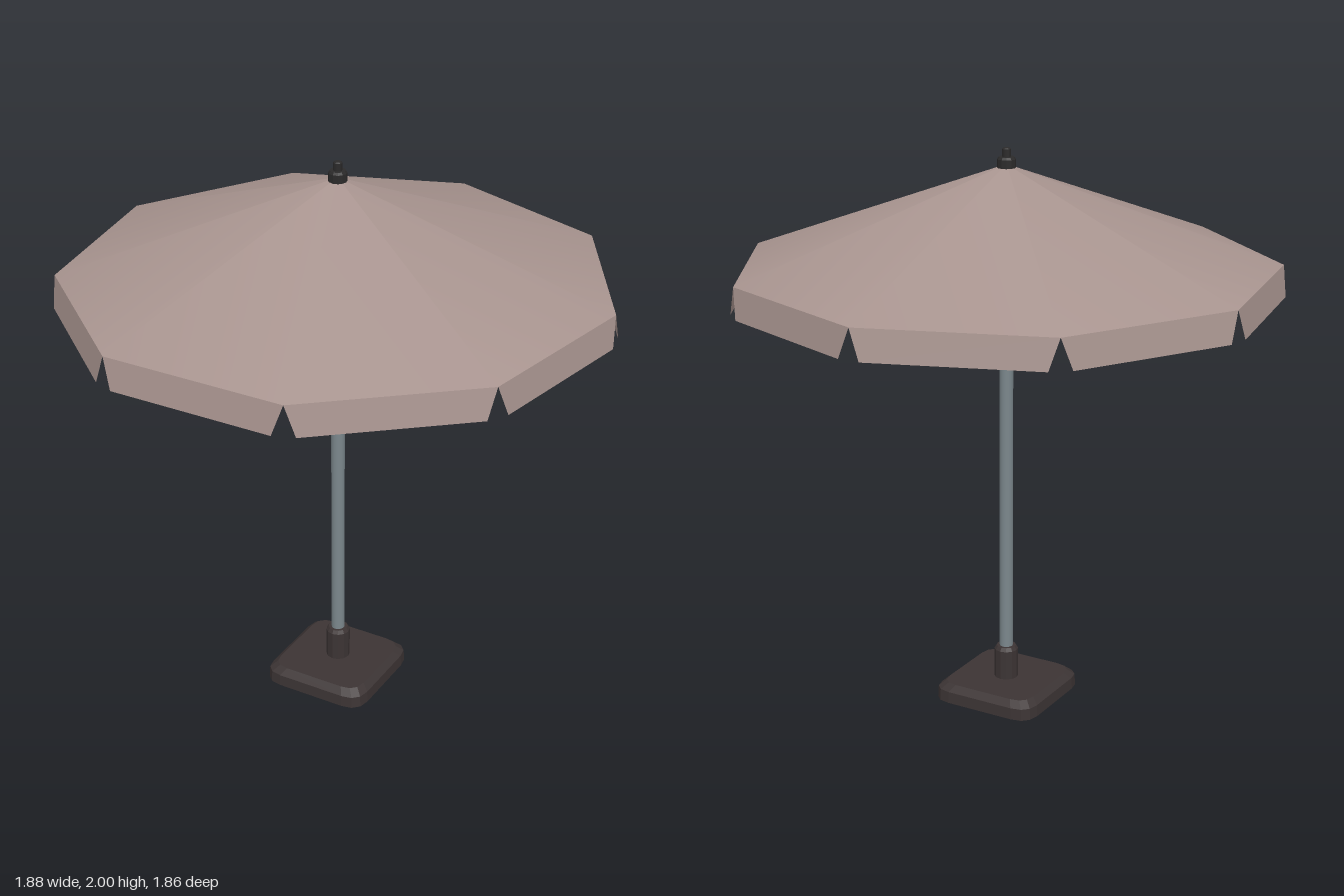
import * as THREE from 'three';

const SIDES = 9;
const AXIS_Z = 0.02;
const RIM_R = 0.945, RIM_Y = 1.6, APEX_Y = 1.945;

function material(name, color, side = THREE.FrontSide) {
  const m = new THREE.MeshStandardMaterial({ color, side });
  m.name = name;
  return m;
}

export function createModel() {
  const fabric = material('dusty rose fabric', 0xa8948f, THREE.DoubleSide);
  const steel = material('grey steel', 0x7b878c);
  const dark = material('dark brown plastic', 0x3c3434);
  const black = material('black metal', 0x2b2a2a);
  const collarMat = material('brown collar', 0x927d77);

  const model = new THREE.Group();
  model.name = 'parasol';
  const add = (name, geometry, mat, parent = model) => {
    const mesh = new THREE.Mesh(geometry, mat);
    mesh.name = name;
    parent.add(mesh);
    return mesh;
  };
  // Turned part from [radius, y] pairs, listed bottom to top, with crisp rings
  const turned = (name, profile, mat, sides = 12) => {
    const points = profile.map(([r, y]) => new THREE.Vector2(r, y));
    const geo = new THREE.LatheGeometry(points, sides).toNonIndexed();
    geo.computeVertexNormals();
    return add(name, geo, mat);
  };

  // Base slab: rounded square whose top edge is drawn in
  const h = 0.2, c = 0.07;
  const outline = new THREE.Shape();
  outline.moveTo(h - c, -h);
  outline.quadraticCurveTo(h, -h, h, -h + c);
  outline.lineTo(h, h - c);
  outline.quadraticCurveTo(h, h, h - c, h);
  outline.lineTo(-h + c, h);
  outline.quadraticCurveTo(-h, h, -h, h - c);
  outline.lineTo(-h, -h + c);
  outline.quadraticCurveTo(-h, -h, -h + c, -h);
  outline.closePath();
  const slab = new THREE.ExtrudeGeometry(outline, { depth: 2, steps: 2, bevelEnabled: false, curveSegments: 3 });
  const heights = [0, 0.042, 0.064], scales = [1, 0.99, 0.87];
  const p = slab.attributes.position;
  for (let i = 0; i < p.count; i++) {
    const level = Math.round(p.getZ(i));
    p.setXYZ(i, p.getX(i) * scales[level], p.getY(i) * scales[level], heights[level]);
  }
  slab.rotateX(-Math.PI / 2);
  slab.computeVertexNormals();
  add('base', slab, dark).position.z = 0.006;

  // Socket, pole, collar and hub
  turned('socket', [[0.043, 0.06], [0.043, 0.172], [0.035, 0.185], [0, 0.185]], dark);
  add('pole', new THREE.CylinderGeometry(0.024, 0.024, 1.25, 16), steel).position.y = 0.795;
  add('upperPole', new THREE.CylinderGeometry(0.024, 0.024, 0.52, 16), black).position.y = 1.68;
  turned('collar', [[0.024, 1.395], [0.034, 1.4], [0.041, 1.415], [0.041, 1.468], [0.024, 1.472]], collarMat);
  turned('hub', [[0.024, 1.47], [0.034, 1.472], [0.034, 1.492], [0.024, 1.495]], black);

  // Canopy: nine-sided cone with a corner at the back
  const cone = new THREE.ConeGeometry(RIM_R, APEX_Y - RIM_Y, SIDES, 1, true, Math.PI);
  add('canopy', cone, fabric).position.y = (APEX_Y + RIM_Y) / 2;

  // One hanging flap and one strut per panel
  const inner = RIM_R * Math.cos(Math.PI / SIDES);
  const halfTop = RIM_R * Math.sin(Math.PI / SIDES), halfLow = halfTop - 0.034;
  const flap = new THREE.BufferGeometry();
  flap.setAttribute('position', new THREE.Float32BufferAttribute([
    -halfLow, RIM_Y - 0.103, inner + 0.018, halfLow, RIM_Y - 0.103, inner + 0.018,
    halfTop, RIM_Y, inner, -halfTop, RIM_Y, inner], 3));
  flap.setIndex([0, 1, 2, 0, 2, 3]);
  flap.computeVertexNormals();
  const strutPath = new THREE.LineCurve3(new THREE.Vector3(0, 1.485, 0.03), new THREE.Vector3(0, 1.81, 0.335));
  const strut = new THREE.TubeGeometry(strutPath, 1, 0.005, 6);
  for (let i = 0; i < SIDES; i++) {
    const panel = new THREE.Group();
    panel.name = 'panel' + (i + 1);
    panel.rotation.y = (i * 2 * Math.PI) / SIDES;
    add('valanceFlap', flap, fabric, panel);
    add('strut', strut, black, panel);
    model.add(panel);
  }

  // Finial
  turned('finial', [[0.032, 1.925], [0.032, 1.962], [0.027, 1.97], [0.015, 1.97], [0.015, 1.996], [0.011, 2], [0, 2]], black);

  model.position.z = AXIS_Z;
  const root = new THREE.Group();
  root.name = 'gardenParasol';
  root.add(model);
  return root;
}
